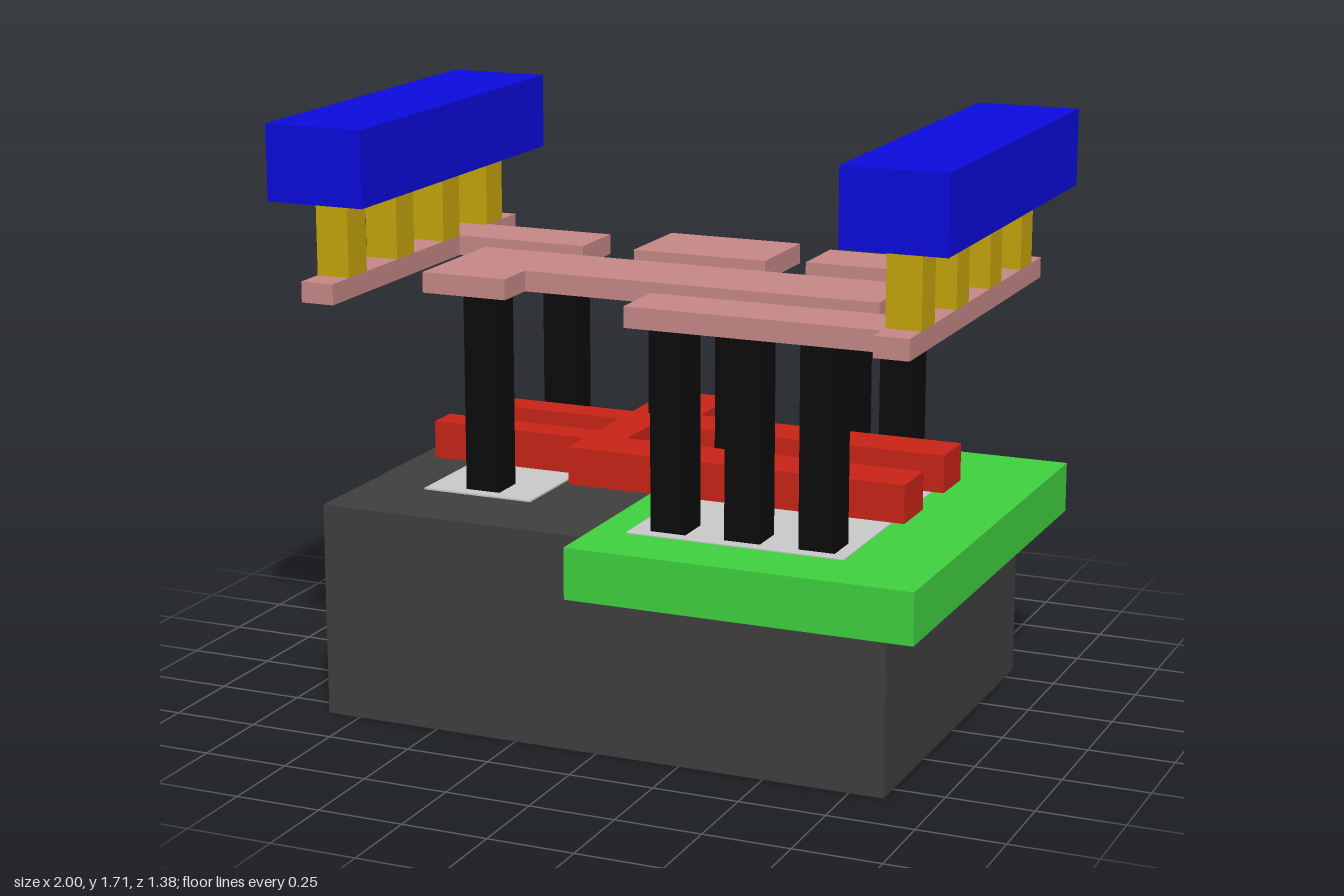
import * as THREE from 'three';

const material = (color) => new THREE.MeshStandardMaterial({ color, flatShading: true });

export function createModel() {
  const model = new THREE.Group();
  const mats = {
    substrate: material(0x404040),
    well: material(0x40d440),
    diffusion: material(0xcccccc),
    gate: material(0xcc2418),
    contact: material(0x0c0c0c),
    lowerMetal: material(0xc88a88),
    via: material(0xc8a80c),
    upperMetal: material(0x0c0ce0),
  };

  // Flat slab from an outline of [x, z] corners, spanning y0 to y1
  function slab(name, mat, y0, y1, outline) {
    const shape = new THREE.Shape(outline.map(([x, z]) => new THREE.Vector2(x, -z)));
    const geo = new THREE.ExtrudeGeometry(shape, { depth: y1 - y0, bevelEnabled: false });
    geo.rotateX(-Math.PI / 2).translate(0, y0, 0);
    const mesh = new THREE.Mesh(geo, mats[mat]);
    mesh.name = name;
    model.add(mesh);
  }

  // Axis-aligned block given by its limits
  function block(name, mat, [x0, x1], [y0, y1], [z0, z1]) {
    const mesh = new THREE.Mesh(new THREE.BoxGeometry(x1 - x0, y1 - y0, z1 - z0), mats[mat]);
    mesh.position.set((x0 + x1) / 2, (y0 + y1) / 2, (z0 + z1) / 2);
    mesh.name = name;
    model.add(mesh);
  }

  // Base block, the well set into one half, and thin diffusion patches on top
  block('substrate', 'substrate', [-0.85, 0.85], [0, 0.626], [-0.575, 0.575]);
  block('well', 'well', [-0.04, 0.965], [0.48, 0.628], [-0.69, 0.69]);
  block('leftDiffusion', 'diffusion', [-0.66, -0.32], [0.6, 0.631], [-0.38, 0.32]);
  block('rightDiffusion', 'diffusion', [0.06, 0.7], [0.6, 0.631], [-0.43, 0.5]);

  // Two gate fingers joined by a bridge, with a contact pad at the back
  slab('gate', 'gate', 0.67, 0.78, [
    [-0.72, -0.205], [-0.235, -0.205], [-0.235, -0.48], [-0.03, -0.48],
    [-0.03, -0.24], [0.78, -0.24], [0.78, -0.09], [-0.12, -0.09],
    [-0.12, 0.09], [0.78, 0.09], [0.78, 0.245], [-0.235, 0.245],
    [-0.235, 0.135], [-0.72, 0.135], [-0.72, 0.04], [-0.235, 0.04],
    [-0.235, -0.11], [-0.72, -0.11],
  ]);

  // Contact columns, [x, z] centres
  const contacts = [
    [0.17, 0.41], [0.39, 0.41], [0.607, 0.41],
    [0.4, -0.333], [0.568, -0.333],
    [0.19, 0], [-0.13, -0.255], [-0.49, -0.29], [-0.49, 0.23],
  ];
  const r = 0.0525;
  for (const [x, z] of contacts) {
    block('contactColumn', 'contact', [x - r, x + r], [0.626, 1.21], [z - r, z + r]);
  }

  // Lower metal: two rails with stubs, and two separate plates
  const m0 = 1.21, m1 = 1.27;
  slab('leftRail', 'lowerMetal', m0, m1, [
    [-0.9, -0.575], [-0.8, -0.575], [-0.8, -0.39], [-0.39, -0.39],
    [-0.39, -0.195], [-0.8, -0.195], [-0.8, 0.575], [-0.9, 0.575],
  ]);
  slab('rightRail', 'lowerMetal', m0, m1, [
    [0.9, -0.575], [0.8, -0.575], [0.8, -0.435], [0.3, -0.435],
    [0.3, -0.235], [0.8, -0.235], [0.8, 0.325], [0.06, 0.325],
    [0.06, 0.51], [0.8, 0.51], [0.8, 0.575], [0.9, 0.575],
  ]);
  slab('outputPlate', 'lowerMetal', m0, m1, [
    [-0.65, -0.07], [0.68, -0.07], [0.68, 0.195],
    [-0.39, 0.195], [-0.39, 0.325], [-0.65, 0.325],
  ]);
  block('inputPlate', 'lowerMetal', [-0.23, 0.185], [m0, m1], [-0.485, -0.205]);

  // Vias and upper metal bars, mirrored left and right
  for (const s of [-1, 1]) {
    const span = (a, b) => (s > 0 ? [a, b] : [-b, -a]);
    for (const z of [-0.43, -0.145, 0.145, 0.43]) {
      block('via', 'via', span(0.8, 0.9), [m1, 1.49], [z - r, z + r]);
    }
    block('upperBar', 'upperMetal', span(0.7, 1), [1.49, 1.71], [-0.575, 0.575]);
  }
  return model;
}
